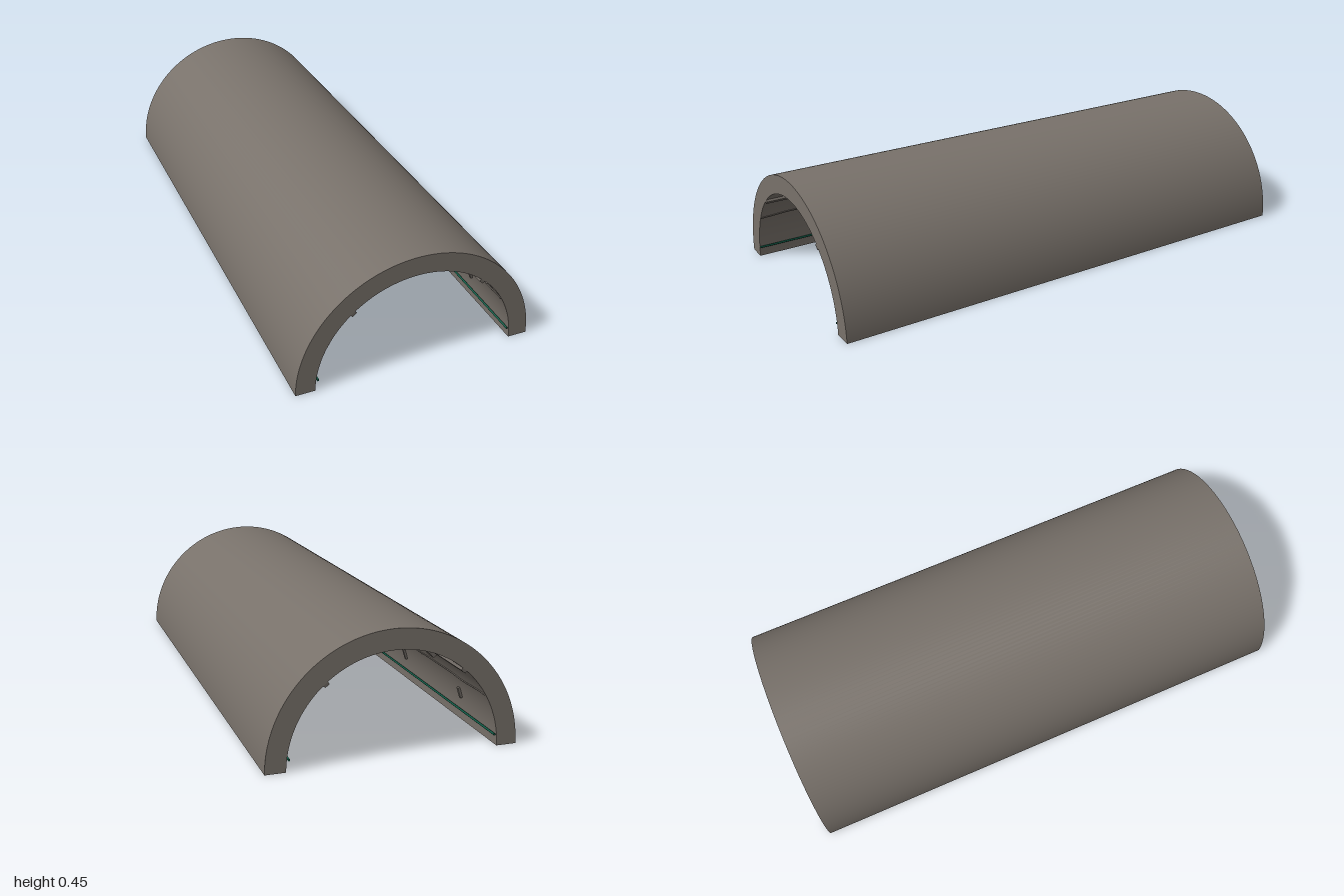
import * as THREE from 'three';
import { toCreasedNormals } from 'three/addons/utils/BufferGeometryUtils.js';

const OUTER = 0.452, INNER = 0.379, LENGTH = 2;

export function createModel() {
  const group = new THREE.Group();
  const stone = new THREE.MeshStandardMaterial({ name: 'warm grey stone', color: 0x78716a });
  const fitting = new THREE.MeshStandardMaterial({ name: 'fitting grey', color: 0x6c6660 });
  const green = new THREE.MeshStandardMaterial({ name: 'deep green', color: 0x0f5a45 });

  function add(name, geometry, material) {
    const mesh = new THREE.Mesh(geometry, material);
    mesh.name = name;
    group.add(mesh);
    return mesh;
  }

  // Box lying on the vault: width is radial, height follows the curve
  function addOnWall(name, size, side, radius, degrees, z) {
    const a = THREE.MathUtils.degToRad(degrees);
    const mesh = add(name, new THREE.BoxGeometry(...size), fitting);
    mesh.position.set(side * radius * Math.cos(a), radius * Math.sin(a), z);
    mesh.rotation.z = side * a;
  }

  // Half-round vault
  const arch = new THREE.Shape();
  arch.moveTo(OUTER, 0);
  arch.absarc(0, 0, OUTER, 0, Math.PI, false);
  arch.lineTo(-INNER, 0);
  arch.absarc(0, 0, INNER, Math.PI, 0, true);
  arch.closePath();
  const vault = new THREE.ExtrudeGeometry(arch, { depth: LENGTH, bevelEnabled: false, curveSegments: 48 });
  vault.translate(0, 0, -LENGTH / 2);
  add('vault', toCreasedNormals(vault, Math.PI / 6), stone);

  for (const side of [1, -1]) {
    const label = side > 0 ? 'left' : 'right';

    // Straight ledge running the whole length
    addOnWall(label + 'Ledge', [0.012, 0.02, LENGTH], side, 0.375, 49.5, 0);

    // Small square boxes under the ledge
    for (const z of [-0.667, 0, 0.667])
      addOnWall(label + 'WallBox', [0.018, 0.028, 0.04], side, 0.372, 42, z);

    // Thin upright brackets
    for (const z of [-0.75, -0.25, 0.25, 0.75])
      addOnWall(label + 'Bracket', [0.01, 0.042, 0.012], side, 0.375, side > 0 ? 19 : 17.5, z);

    // Slightly wavy cable clinging to the wall
    const points = [];
    for (let i = 0; i <= 40; i++) {
      const z = -1 + i / 20;
      const a = THREE.MathUtils.degToRad(29.7) + 0.007 * Math.sin(z * 17) + 0.005 * Math.sin(z * 31 + side);
      points.push(new THREE.Vector3(side * 0.378 * Math.cos(a), 0.378 * Math.sin(a), z));
    }
    const path = new THREE.CatmullRomCurve3(points);
    add(label + 'Cable', new THREE.TubeGeometry(path, 120, 0.003, 6), fitting);

    // Green pipe near the floor
    const pipe = add(label + 'Pipe', new THREE.CylinderGeometry(0.004, 0.004, LENGTH, 10), green);
    pipe.rotation.x = Math.PI / 2;
    pipe.position.set(side * 0.369, 0.042, 0);
  }
  return group;
}
